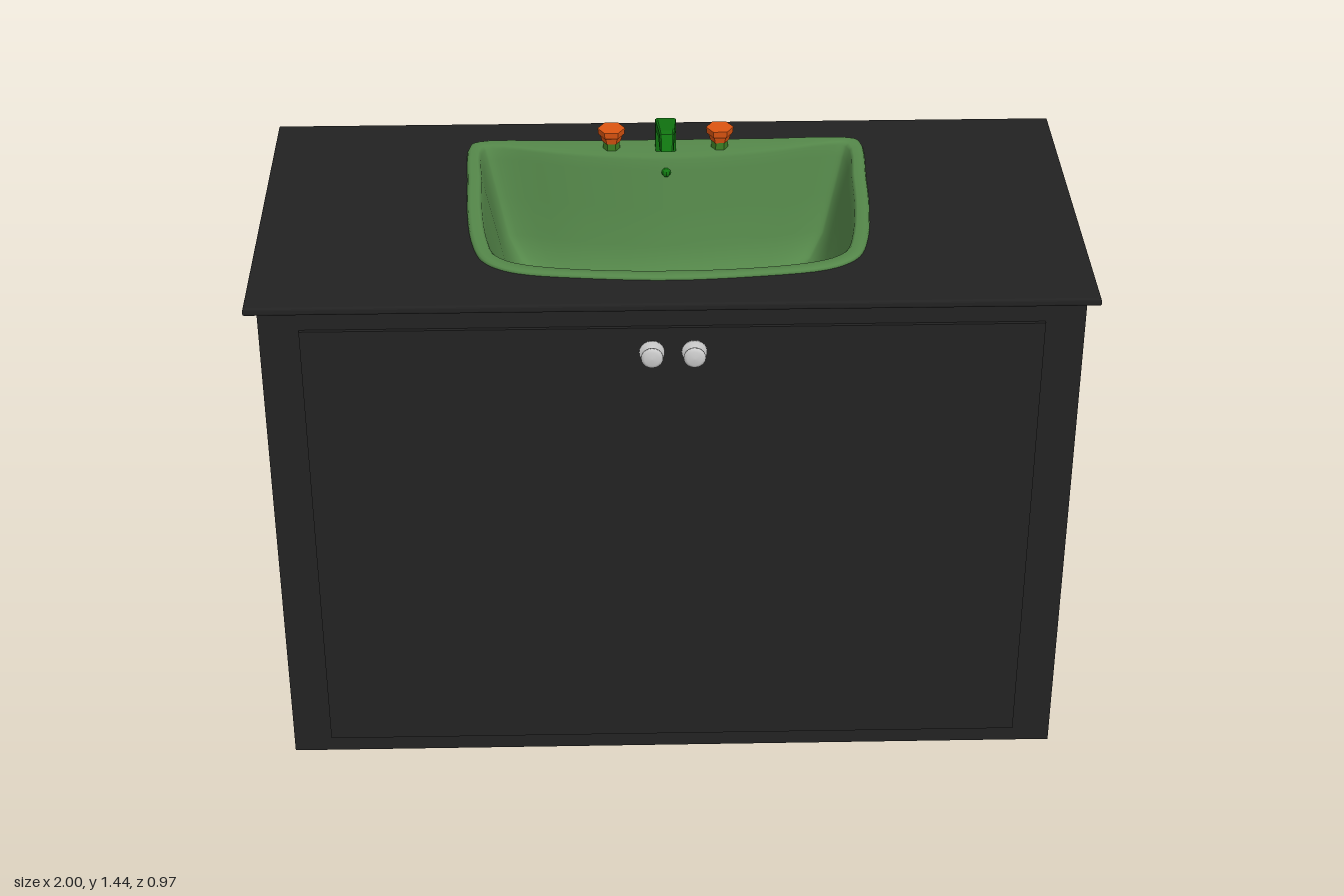
import * as THREE from 'three';

const mat = (color, extra = {}) => new THREE.MeshStandardMaterial({ color, ...extra });

// Closed, left-right symmetric outline from its +x half, given as [x, z]
function outline(half, samples = 96) {
  const mirrored = half.slice(1, -1).reverse().map(([x, z]) => [-x, z]);
  const pts = [...half, ...mirrored].map(([x, z]) => new THREE.Vector3(x, 0, z));
  const curve = new THREE.CatmullRomCurve3(pts, true, 'centripetal');
  return Array.from({ length: samples }, (_, i) => curve.getPoint(i / samples));
}

// Skin over a list of closed rings, ordered from the outer bottom over the rim and inward
function loft(rings) {
  const n = rings[0].length, pos = [], idx = [];
  rings.forEach(r => r.forEach(p => pos.push(p.x, p.y, p.z)));
  for (let i = 0; i < rings.length - 1; i++) {
    for (let j = 0; j < n; j++) {
      const a = i * n + j, b = i * n + (j + 1) % n;
      idx.push(a, a + n, b, b, a + n, b + n);
    }
  }
  const g = new THREE.BufferGeometry();
  g.setAttribute('position', new THREE.Float32BufferAttribute(pos, 3));
  g.setIndex(idx);
  g.computeVertexNormals();
  return g;
}

export function createModel() {
  const model = new THREE.Group();
  const black = mat(0x222222), black2 = mat(0x222222, { side: THREE.DoubleSide });
  const sinkGreen = mat(0x55884a, { side: THREE.DoubleSide });
  const tapGreen = mat(0x117711, { flatShading: true });
  const stemGreen = mat(0x3a7a22, { flatShading: true });
  const orange = mat(0xdd5511, { flatShading: true });
  const grey = mat(0xcccccc, { side: THREE.DoubleSide });
  const pipeGreen = mat(0x0a3a2a, { flatShading: true });

  const add = (name, geo, material, x = 0, y = 0, z = 0, parent = model) => {
    const m = new THREE.Mesh(geo, material);
    m.name = name;
    m.position.set(x, y, z);
    parent.add(m);
    return m;
  };
  // Box between two corners
  const box = (name, x0, x1, y0, y1, z0, z1, parent) =>
    add(name, new THREE.BoxGeometry(x1 - x0, y1 - y0, z1 - z0), black,
      (x0 + x1) / 2, (y0 + y1) / 2, (z0 + z1) / 2, parent);

  // Outer cabinet: front and sides, open at the back and underneath
  const cabinet = new THREE.Group();
  cabinet.name = 'cabinet';
  model.add(cabinet);
  box('frontPanel', -0.97, 0.97, 0, 1.308, 0.43, 0.44, cabinet);
  box('door', -0.875, 0.875, 0.045, 1.255, 0.44, 0.449, cabinet);
  for (const s of [-1, 1]) {
    box('sidePanel', s * 0.965 - 0.005, s * 0.965 + 0.005, 0, 1.308, -0.485, 0.44, cabinet);
  }

  // Inner compartment, with a groove across its back
  const inner = new THREE.Group();
  inner.name = 'innerCompartment';
  model.add(inner);
  box('floor', -0.89, 0.89, 0.06, 0.07, -0.345, 0.43, inner);
  box('lowerBack', -0.89, 0.89, 0.06, 0.815, -0.345, -0.335, inner);
  box('upperBack', -0.89, 0.89, 0.84, 1.26, -0.345, -0.335, inner);
  box('backGroove', -0.89, 0.89, 0.81, 0.845, -0.335, -0.325, inner);
  for (const s of [-1, 1]) {
    box('innerSide', s * 0.885 - 0.005, s * 0.885 + 0.005, 0.06, 1.26, -0.345, 0.43, inner);
  }

  // Sink outlines: outer rim and bowl opening
  const outer = outline([[0, -0.37], [0.25, -0.37], [0.48, -0.37], [0.5, -0.35], [0.5, -0.15],
    [0.495, 0], [0.48, 0.15], [0.455, 0.24], [0.42, 0.28], [0.36, 0.31], [0.2, 0.335], [0, 0.348]]);
  const opening = outline([[0, -0.265], [0.25, -0.295], [0.44, -0.34], [0.47, -0.33], [0.47, -0.15],
    [0.465, 0], [0.45, 0.14], [0.43, 0.22], [0.395, 0.26], [0.34, 0.285], [0.2, 0.31], [0, 0.32]]);
  const ring = (pts, s, y, zc) => pts.map(p => new THREE.Vector3(p.x * s, y, zc + (p.z - zc) * s));

  // Countertop with a cut-out for the sink and softened edges
  const b = 0.006;
  const top = new THREE.Shape();
  top.moveTo(-1 + b, -0.46 + b);
  top.lineTo(1 - b, -0.46 + b);
  top.lineTo(1 - b, 0.485 - b);
  top.lineTo(-1 + b, 0.485 - b);
  top.closePath();
  top.holes.push(new THREE.Path(outer.map(p => new THREE.Vector2(p.x * 0.97, -p.z * 0.97))));
  const topGeo = new THREE.ExtrudeGeometry(top, {
    depth: 0.02 - 2 * b, bevelThickness: b, bevelSize: b, bevelSegments: 3,
  });
  topGeo.rotateX(-Math.PI / 2);
  add('countertop', topGeo, black2, 0, 1.305 + b, 0);

  // Sink: hull, rolled rim, deck and bowl
  const hull = [[0.84, 0.98], [0.94, 1.2], [0.995, 1.315], [1, 1.326], [0.995, 1.332], [0.98, 1.335]];
  const bowl = [[1, 1.335], [0.985, 1.328], [0.97, 1.3], [0.92, 1.2], [0.87, 1.1], [0.8, 1.04],
    [0.7, 1.015], [0.5, 1.004], [0.25, 1.001], [0.001, 1]];
  add('sink', loft([
    ...hull.map(([s, y]) => ring(outer, s, y, 0)),
    ...bowl.map(([s, y]) => ring(opening, s, y, 0.04)),
  ]), sinkGreen);

  // Drain, overflow and waste pipe that leaves through the back
  add('drain', new THREE.CylinderGeometry(0.028, 0.028, 0.012, 8), tapGreen, 0, 1.006, 0.025);
  add('overflow', new THREE.SphereGeometry(0.012, 8, 6), tapGreen, 0, 1.297, -0.254);
  const pipePath = new THREE.CatmullRomCurve3([[1, 0.025], [0.78, 0.025], [0.69, -0.06], [0.69, -0.34]]
    .map(([y, z]) => new THREE.Vector3(0, y, z)));
  add('wastePipe', new THREE.TubeGeometry(pipePath, 16, 0.024, 8), pipeGreen);
  add('pipeEnd', new THREE.CylinderGeometry(0.028, 0.028, 0.02, 8).rotateX(Math.PI / 2),
    pipeGreen, 0, 0.69, -0.345);

  // Spout: side profile [z, y], extruded across and narrowed towards its tip
  const profile = [[-0.335, 1.33], [-0.298, 1.33], [-0.298, 1.396], [-0.225, 1.413], [-0.195, 1.393],
    [-0.172, 1.4], [-0.19, 1.435], [-0.21, 1.435], [-0.325, 1.412], [-0.335, 1.4]];
  const spoutGeo = new THREE.ExtrudeGeometry(
    new THREE.Shape(profile.map(p => new THREE.Vector2(...p))),
    { depth: 0.04, bevelThickness: 0.005, bevelSize: 0.003, bevelSegments: 1 });
  spoutGeo.translate(0, 0, -0.02).rotateY(-Math.PI / 2);
  const sp = spoutGeo.attributes.position;
  for (let i = 0; i < sp.count; i++) {
    const t = THREE.MathUtils.clamp((sp.getZ(i) + 0.3) / 0.13, 0, 1);
    sp.setX(i, sp.getX(i) * (1.05 - 0.4 * t));
  }
  spoutGeo.computeVertexNormals();
  add('spout', spoutGeo, tapGreen);

  // Six-sided tap handles on short stems
  const handleProfile = [[0, 1.355], [0.024, 1.355], [0.028, 1.37], [0.033, 1.374], [0.035, 1.391], [0, 1.391]]
    .map(p => new THREE.Vector2(...p));
  for (const s of [-1, 1]) {
    const tap = new THREE.Group();
    tap.name = 'tap';
    tap.position.set(s * 0.138, 0, -0.32);
    tap.rotation.y = Math.PI / 6;
    model.add(tap);
    add('tapStem', new THREE.CylinderGeometry(0.02, 0.022, 0.03, 6), stemGreen, 0, 1.345, 0, tap);
    add('tapHandle', new THREE.LatheGeometry(handleProfile, 6), orange, 0, 0, 0, tap);
  }

  // Turned door knobs
  const knobProfile = [[0, 0], [0.03, 0], [0.03, 0.005], [0.012, 0.007], [0.01, 0.018], [0.016, 0.023],
    [0.026, 0.027], [0.026, 0.032], [0.018, 0.037], [0, 0.038]].map(p => new THREE.Vector2(...p));
  for (const s of [-1, 1]) {
    add('doorKnob', new THREE.LatheGeometry(knobProfile, 20).rotateX(Math.PI / 2), grey, s * 0.05, 1.19, 0.448);
  }
  return model;
}
